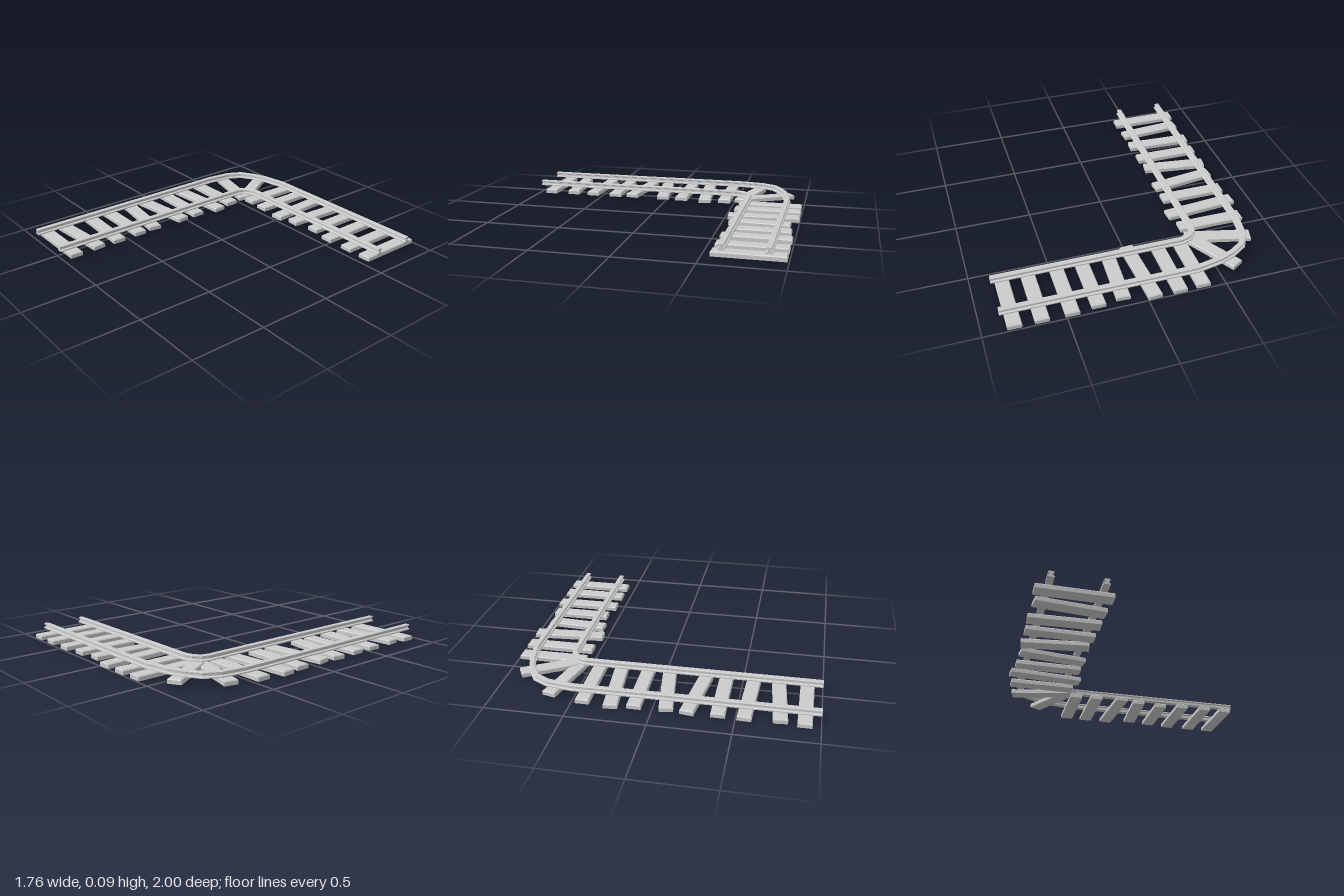
import * as THREE from 'three';

const material = new THREE.MeshStandardMaterial({ color: 0xcccccc, flatShading: true });

// I-shaped rail section: [sideways, height], counter-clockwise
const half = [[0.021, 0.05], [0.021, 0.057], [0.008, 0.062], [0.008, 0.073], [0.017, 0.077], [0.017, 0.084], [0.013, 0.087]];
const section = [...half, ...half.map(([u, y]) => [-u, y]).reverse()];

// Sweep the section along a flat path of [x, z] points with mitred corners
function railGeometry(path) {
  const dir = (a, b) => new THREE.Vector2(b[0] - a[0], b[1] - a[1]).normalize();
  const positions = [], index = [];
  const n = section.length, last = path.length - 1;
  path.forEach((p, i) => {
    const before = dir(path[Math.max(i - 1, 0)], path[Math.max(i, 1)]);
    const after = dir(path[Math.min(i, last - 1)], path[Math.min(i + 1, last)]);
    const t = before.clone().add(after).normalize();
    const miter = 1 / t.dot(after);
    for (const [u, y] of section) positions.push(p[0] - t.y * u * miter, y, p[1] + t.x * u * miter);
  });
  for (let i = 0; i < last; i++) {
    for (let k = 0; k < n; k++) {
      const a = i * n + k, b = i * n + (k + 1) % n;
      index.push(a, a + n, b, b, a + n, b + n);
    }
  }
  // End caps
  const contour = section.map(([u, y]) => new THREE.Vector2(u, y));
  for (const [a, b, c] of THREE.ShapeUtils.triangulateShape(contour, [])) {
    index.push(a, b, c, last * n + a, last * n + c, last * n + b);
  }
  const g = new THREE.BufferGeometry();
  g.setAttribute('position', new THREE.Float32BufferAttribute(positions, 3));
  g.setIndex(index);
  const flat = g.toNonIndexed();
  flat.computeVertexNormals();
  return flat;
}

// Wooden sleeper between two [x, z] end points, with slightly worn top edges
function sleeper(x1, z1, x2, z2, y = 0) {
  const length = Math.hypot(x2 - x1, z2 - z1), width = 0.088, height = 0.03;
  const g = new THREE.BoxGeometry(length, height, width, 1, 2, 1);
  const p = g.attributes.position;
  for (let i = 0; i < p.count; i++) {
    if (p.getY(i) > 0.001) {
      p.setX(i, p.getX(i) - Math.sign(p.getX(i)) * 0.005);
      p.setZ(i, p.getZ(i) - Math.sign(p.getZ(i)) * 0.005);
    } else if (p.getY(i) > -0.001) p.setY(i, 0.009);
  }
  g.computeVertexNormals();
  const mesh = new THREE.Mesh(g, material);
  mesh.position.set((x1 + x2) / 2, y + height / 2, (z1 + z2) / 2);
  mesh.rotation.y = Math.atan2(z1 - z2, x2 - x1);
  return mesh;
}

export function createModel() {
  const track = new THREE.Group();
  track.name = 'railTrack';

  // Two rails following the bend
  const rails = {
    outerRail: [[-0.78, 1], [-0.78, -0.51], [-0.757, -0.67], [-0.708, -0.762], [-0.615, -0.82], [-0.52, -0.857], [-0.35, -0.89], [0.88, -0.89]],
    innerRail: [[-0.462, 1], [-0.462, -0.52], [-0.448, -0.565], [-0.41, -0.6], [-0.355, -0.618], [0.88, -0.618]],
  };
  for (const [name, path] of Object.entries(rails)) {
    const rail = new THREE.Mesh(railGeometry(path), material);
    rail.name = name;
    track.add(rail);
  }

  const sleepers = new THREE.Group();
  sleepers.name = 'sleepers';
  track.add(sleepers);
  const add = (name, mesh) => {
    mesh.name = name;
    sleepers.add(mesh);
  };

  // Side arm: centre x, centre z, length, z drop from left end to right end
  [
    [-0.632, -0.43, 0.44, 0], [-0.628, -0.27, 0.49, -0.042], [-0.632, -0.11, 0.44, 0],
    [-0.627, 0.057, 0.435, -0.058], [-0.638, 0.24, 0.435, 0.058], [-0.632, 0.397, 0.44, 0],
    [-0.632, 0.562, 0.45, 0.02], [-0.628, 0.746, 0.435, -0.037], [-0.632, 0.905, 0.46, 0],
  ].forEach(([x, z, l, d]) => add('sideSleeper', sleeper(x - l / 2, z - d / 2, x + l / 2, z + d / 2)));

  // Back arm: centre x, centre z, length, x shift from back end to front end
  [
    [-0.357, -0.77, 0.44, 0], [-0.206, -0.768, 0.455, 0], [-0.03, -0.76, 0.475, 0.032],
    [0.132, -0.753, 0.4, -0.022], [0.3, -0.775, 0.395, 0], [0.464, -0.77, 0.44, 0],
    [0.645, -0.77, 0.44, 0], [0.807, -0.77, 0.44, 0],
  ].forEach(([x, z, l, d]) => add('backSleeper', sleeper(x - d / 2, z - l / 2, x + d / 2, z + l / 2)));

  // Fanned sleepers stacked in the bend
  add('cornerSleeper', sleeper(-0.82, -0.65, -0.405, -0.548, 0.01));
  add('cornerSleeper', sleeper(-0.62, -0.9, -0.435, -0.585, 0.019));

  return track;
}
